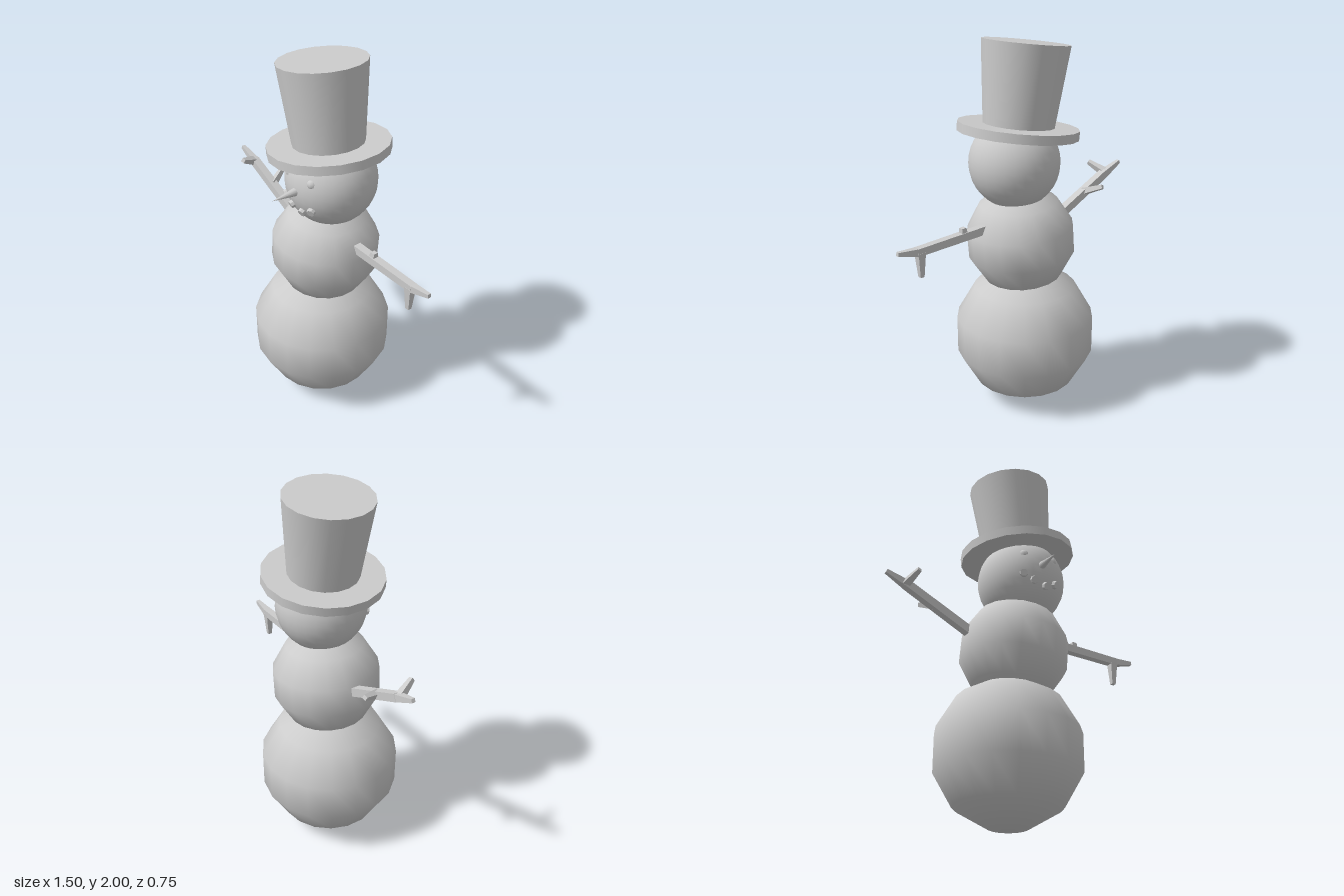
import * as THREE from 'three';

const smooth = new THREE.MeshStandardMaterial({ color: 0xcccccc });
const flat = new THREE.MeshStandardMaterial({ color: 0xcccccc, flatShading: true });
const UP = new THREE.Vector3(0, 1, 0);

function add(parent, name, geometry, position, material = smooth) {
  const mesh = new THREE.Mesh(geometry, material);
  mesh.name = name;
  mesh.position.set(...position);
  parent.add(mesh);
  return mesh;
}

// Faceted snowball: rings every 30 degrees, offset so a flat band runs round the middle
function snowball(radius) {
  const profile = [new THREE.Vector2(0, -radius)];
  for (let a = -75; a <= 75; a += 30) {
    const t = THREE.MathUtils.degToRad(a);
    profile.push(new THREE.Vector2(radius * Math.cos(t), radius * Math.sin(t)));
  }
  profile.push(new THREE.Vector2(0, radius));
  return new THREE.LatheGeometry(profile, 18);
}

// Square tapered stick between two points, with half-widths at each end
function stick(parent, name, from, to, w0, w1) {
  const a = new THREE.Vector3(...from), b = new THREE.Vector3(...to);
  const dir = b.clone().sub(a);
  const geometry = new THREE.CylinderGeometry(w1 * Math.SQRT2, w0 * Math.SQRT2, dir.length(), 4);
  geometry.rotateY(Math.PI / 4);
  const mesh = add(parent, name, geometry, a.add(b).multiplyScalar(0.5).toArray(), flat);
  mesh.quaternion.setFromUnitVectors(UP, dir.normalize());
}

export function createModel() {
  const model = new THREE.Group();
  model.name = 'snowman';

  // Body
  add(model, 'lowerBody', snowball(0.39), [-0.045, 0.39, 0]);
  add(model, 'upperBody', snowball(0.295), [-0.015, 0.943, 0]).rotation.z = -0.085;

  // Head and face
  const head = new THREE.Group();
  head.name = 'head';
  head.position.set(0.03, 1.37, -0.003);
  model.add(head);
  const R = 0.238;
  add(head, 'headBall', new THREE.SphereGeometry(R, 28, 18), [0, 0, 0]);
  const nose = new THREE.ConeGeometry(0.026, 0.17, 10);
  nose.rotateX(Math.PI / 2);
  add(head, 'nose', nose, [0, 0.004, 0.288]);
  for (const x of [-0.095, 0.09]) {
    const z = Math.sqrt(R * R - x * x - 0.07 ** 2);
    add(head, 'eye', new THREE.SphereGeometry(0.03, 10, 8), [x * 0.9, 0.07 * 0.95, z * 0.9]);
  }
  for (const [x, y] of [[-0.098, -0.057], [-0.04, -0.086], [0.032, -0.102], [0.092, -0.077]]) {
    const z = Math.sqrt(R * R - x * x - y * y);
    const coal = add(head, 'mouthCoal', new THREE.CylinderGeometry(0.02, 0.025, 0.03, 8), [x, y, z], flat);
    coal.quaternion.setFromUnitVectors(UP, new THREE.Vector3(x, y, z).normalize());
  }

  // Leaning top hat
  const hat = new THREE.Group();
  hat.name = 'hat';
  hat.position.set(0.007, 1.54, -0.006);
  hat.rotation.z = 0.118;
  model.add(hat);
  add(hat, 'hatBrim', new THREE.CylinderGeometry(0.315, 0.315, 0.048, 18), [0, 0, 0]);
  add(hat, 'hatCrown', new THREE.CylinderGeometry(0.227, 0.185, 0.42, 18), [0, 0.228, 0]);

  // Right arm, raised, with twigs to front and back
  const rightArm = new THREE.Group();
  rightArm.name = 'rightArm';
  model.add(rightArm);
  stick(rightArm, 'branch', [-0.2, 0.968, 0], [-0.64, 1.192, 0], 0.023, 0.021);
  stick(rightArm, 'branchTip', [-0.625, 1.184, 0], [-0.75, 1.238, 0], 0.021, 0.01);
  stick(rightArm, 'frontTwig', [-0.645, 1.19, 0], [-0.608, 1.238, 0.1], 0.02, 0.011);
  stick(rightArm, 'backTwig', [-0.475, 1.11, 0], [-0.52, 1.153, -0.105], 0.018, 0.011);

  // Left arm, level, with twigs above and below
  const leftArm = new THREE.Group();
  leftArm.name = 'leftArm';
  model.add(leftArm);
  stick(leftArm, 'branch', [0.18, 1.052, 0], [0.645, 1.026, 0], 0.022, 0.02);
  stick(leftArm, 'branchTip', [0.63, 1.026, 0], [0.749, 1.042, 0], 0.02, 0.01);
  stick(leftArm, 'lowerTwig', [0.622, 1.02, 0], [0.62, 0.89, 0], 0.021, 0.011);
  stick(leftArm, 'upperTwig', [0.36, 1.04, 0], [0.364, 1.087, 0], 0.019, 0.013);

  return model;
}
